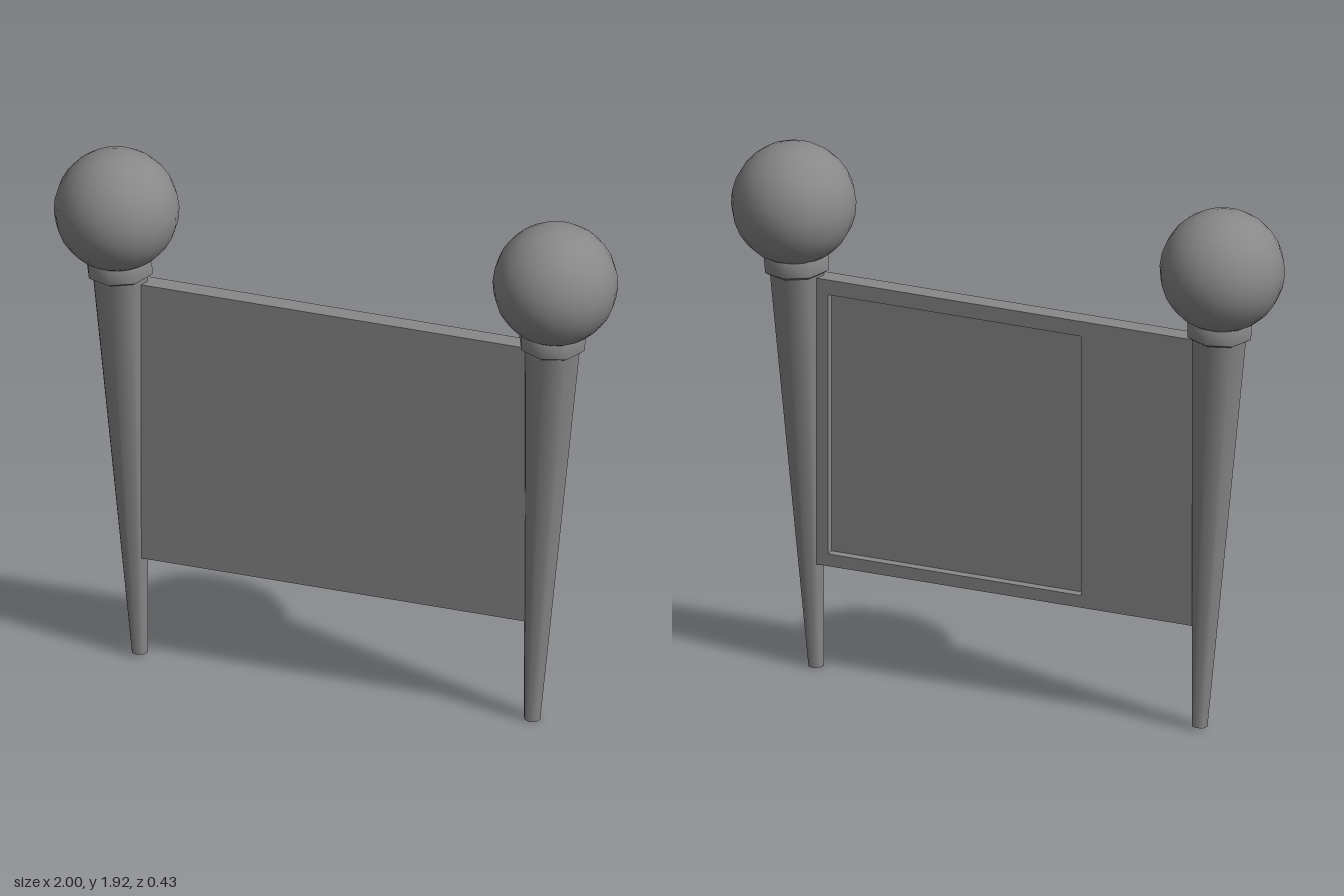
import * as THREE from 'three';
import { toCreasedNormals } from 'three/addons/utils/BufferGeometryUtils.js';

const material = new THREE.MeshStandardMaterial({ color: 0x888888 });

function addMesh(parent, name, geometry, y = 0) {
  const mesh = new THREE.Mesh(geometry, material);
  mesh.name = name;
  mesh.position.y = y;
  parent.add(mesh);
  return mesh;
}

// Tapered eight-sided post with a bevelled collar and a ball on top
function createPost(name, x, y, tilt) {
  const post = new THREE.Group();
  post.name = name;
  addMesh(post, 'postShaft',
    toCreasedNormals(new THREE.CylinderGeometry(0.1, 0.029, 1.47, 8), 0.9), 0.735);
  const collarProfile = [[0.098, 1.453], [0.117, 1.465], [0.119, 1.525], [0.1, 1.545]]
    .map(([r, h]) => new THREE.Vector2(r, h));
  addMesh(post, 'postCollar', toCreasedNormals(new THREE.LatheGeometry(collarProfile, 8), 0.9));
  addMesh(post, 'postBall', new THREE.SphereGeometry(0.214, 20, 14), 1.701);
  post.position.set(x, y, 0);
  post.rotation.z = tilt;
  return post;
}

function rectangle(target, x0, y0, x1, y1) {
  target.moveTo(x0, y0);
  target.lineTo(x1, y0);
  target.lineTo(x1, y1);
  target.lineTo(x0, y1);
  target.closePath();
  return target;
}

export function createModel() {
  const model = new THREE.Group();
  model.name = 'postedPanel';

  // Posts lean outward so their inner edges stand upright
  model.add(createPost('leftPost', 0.702, 0.002, -0.049));
  model.add(createPost('rightPost', -0.708, 0.012, 0.049));

  // Panel: plain front slab and a back layer with a rectangular recess, ends buried in the posts
  const panel = new THREE.Group();
  panel.name = 'panel';
  const slab = addMesh(panel, 'panelFront', new THREE.BoxGeometry(1.42, 1.06, 0.034), 0.92);
  slab.position.z = 0.014;
  const outline = rectangle(new THREE.Shape(), -0.71, 0.39, 0.71, 1.45);
  outline.holes.push(rectangle(new THREE.Path(), -0.285, 0.435, 0.645, 1.395));
  const back = addMesh(panel, 'panelBackFrame',
    new THREE.ExtrudeGeometry(outline, { depth: 0.03, bevelEnabled: false }));
  back.position.z = -0.033;
  model.add(panel);

  return model;
}
